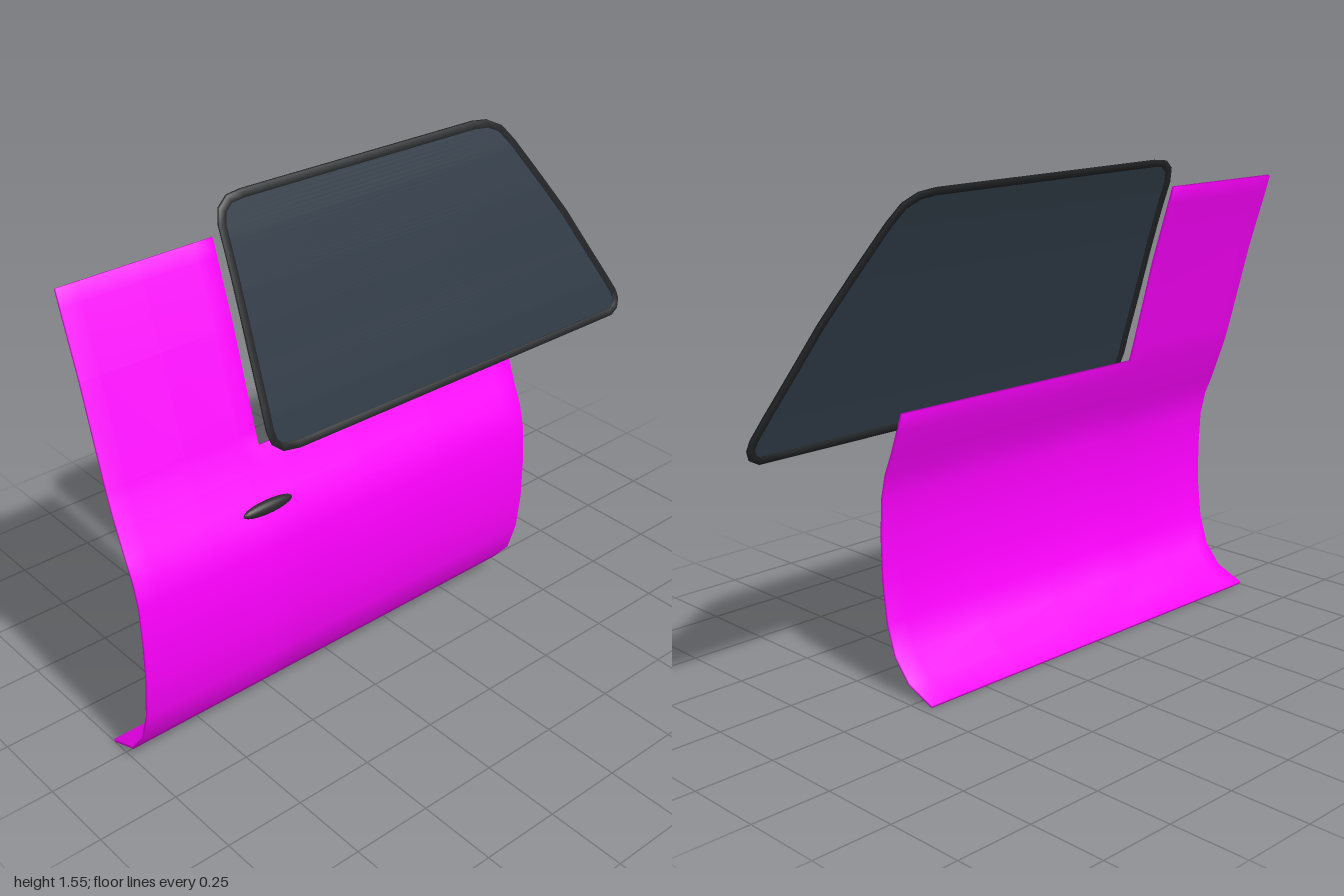
import * as THREE from 'three';

const V = (x, y) => new THREE.Vector2(x, y);

// Side profiles as [x, y], bottom to top
const PANEL = [[-0.06, 0.01], [0.04, 0.05], [0.1, 0.12], [0.133, 0.22], [0.149, 0.35], [0.151, 0.48],
  [0.145, 0.6], [0.126, 0.68], [0.1, 0.74], [0.07, 0.82], [0.048, 0.88], [0.033, 0.93], [-0.045, 1.22],
  [-0.105, 1.41], [-0.12, 1.46]];
const WINDOW = [[0.078, 0.815], [0.042, 0.95], [-0.005, 1.1], [-0.065, 1.3], [-0.112, 1.44], [-0.156, 1.555]];

// Window outline as (z, y), a convex loop
const OUTLINE = [[0.48, 1.48], [0.465, 1.525], [0.43, 1.55], [0.38, 1.555], [-0.5, 1.543], [-0.56, 1.535],
  [-0.61, 1.51], [-0.65, 1.46], [-0.82, 1.2], [-0.985, 0.9], [-0.992, 0.87], [-0.98, 0.84], [-0.95, 0.824],
  [0.38, 0.835], [0.44, 0.845], [0.47, 0.87], [0.48, 0.91]].map(p => V(...p));

function windowX(y) {
  let i = 1;
  while (i < WINDOW.length - 1 && WINDOW[i][1] < y) i++;
  const [xa, ya] = WINDOW[i - 1], [xb, yb] = WINDOW[i];
  return xa + (xb - xa) * (y - ya) / (yb - ya);
}

function makeMesh(name, pos, idx, color) {
  const g = new THREE.BufferGeometry();
  g.setAttribute('position', new THREE.Float32BufferAttribute(pos, 3));
  g.setIndex(idx);
  g.computeVertexNormals();
  const m = new THREE.Mesh(g, new THREE.MeshStandardMaterial({ color, side: THREE.DoubleSide }));
  m.name = name;
  return m;
}

// Thin curved skin with a notch cut out for the window
function doorPanel() {
  const zs = [-0.47, -0.4, -0.1, 0.2, 0.44, 0.51, 0.57, 0.75, 0.94, 1];
  const cols = zs.length, rows = PANEL.length, t = 0.005;
  const pos = [], idx = [];
  for (const s of [1, -1]) {
    PANEL.forEach(([x, y], r) => {
      const a = PANEL[Math.max(r - 1, 0)], b = PANEL[Math.min(r + 1, rows - 1)];
      const n = V(b[1] - a[1], a[0] - b[0]).normalize().multiplyScalar(s * t);
      zs.forEach(z => pos.push(x + n.x, y + n.y, z));
    });
  }
  const solid = (c, r) => c >= 0 && r >= 0 && c < cols - 1 && r < rows - 1 && (zs[c] >= 0.51 || PANEL[r + 1][1] <= 0.88);
  const inner = cols * rows;
  for (let r = 0; r < rows - 1; r++) for (let c = 0; c < cols - 1; c++) {
    if (!solid(c, r)) continue;
    const a = r * cols + c, b = a + 1, d = a + cols, e = d + 1;
    idx.push(a, d, e, a, e, b);
    idx.push(a + inner, e + inner, d + inner, a + inner, b + inner, e + inner);
    // Rim walls wherever there is no neighbouring cell
    for (const [p, q, nc, nr] of [[a, d, c - 1, r], [d, e, c, r + 1], [e, b, c + 1, r], [b, a, c, r - 1]]) {
      if (!solid(nc, nr)) idx.push(q, p, p + inner, q, p + inner, q + inner);
    }
  }
  return makeMesh('doorPanel', pos, idx, 0xff00ff);
}

// Curved pane built from horizontal rows across the outline
function windowGlass() {
  const pos = [], idx = [], rows = 60, y0 = 0.83, y1 = 1.549;
  for (let r = 0; r <= rows; r++) {
    const y = y0 + (y1 - y0) * r / rows, hits = [];
    OUTLINE.forEach((p, i) => {
      const q = OUTLINE[(i + 1) % OUTLINE.length];
      if ((p.y <= y) !== (q.y <= y)) hits.push(p.x + (q.x - p.x) * (y - p.y) / (q.y - p.y));
    });
    const lo = Math.min(...hits) + 0.008, hi = Math.max(...hits) - 0.008;
    pos.push(windowX(y), y, lo, windowX(y), y, hi);
    if (r) {
      const a = 2 * r - 2;
      idx.push(a, a + 2, a + 3, a, a + 3, a + 1);
    }
  }
  return makeMesh('windowGlass', pos, idx, 0x2f3a46);
}

// Narrow seal running round the pane
function windowSeal() {
  const loop = [], pos = [], idx = [], t = 0.005, width = 0.022, n = OUTLINE.length;
  const inset = OUTLINE.map((p, i) => {
    const a = p.clone().sub(OUTLINE[(i + n - 1) % n]).normalize();
    const b = OUTLINE[(i + 1) % n].clone().sub(p).normalize();
    const d = a.add(b).normalize();
    return V(p.x - d.y * width, p.y + d.x * width);
  });
  OUTLINE.forEach((p, i) => {
    const j = (i + 1) % n, steps = Math.max(1, Math.ceil(p.distanceTo(OUTLINE[j]) / 0.08));
    for (let k = 0; k < steps; k++) {
      loop.push([p.clone().lerp(OUTLINE[j], k / steps), inset[i].clone().lerp(inset[j], k / steps)]);
    }
  });
  loop.forEach(([o, q], i) => {
    for (const [p, s] of [[o, t], [q, t], [q, -t], [o, -t]]) pos.push(windowX(p.y) + s, p.y, p.x);
    const a = 4 * i, b = 4 * ((i + 1) % loop.length);
    for (let k = 0; k < 4; k++) {
      const m = (k + 1) % 4;
      idx.push(a + k, b + k, b + m, a + k, b + m, a + m);
    }
  });
  return makeMesh('windowSeal', pos, idx, 0x222426);
}

export function createModel() {
  const door = new THREE.Group();
  door.name = 'door';
  door.add(doorPanel(), windowGlass(), windowSeal());

  // Flattened oval handle
  const handle = new THREE.Mesh(new THREE.SphereGeometry(1, 24, 16), new THREE.MeshStandardMaterial({ color: 0x2a2a2a }));
  handle.name = 'doorHandle';
  handle.scale.set(0.016, 0.02, 0.086);
  handle.position.set(0.124, 0.725, 0.54);
  handle.rotation.z = 0.3;
  door.add(handle);
  return door;
}
